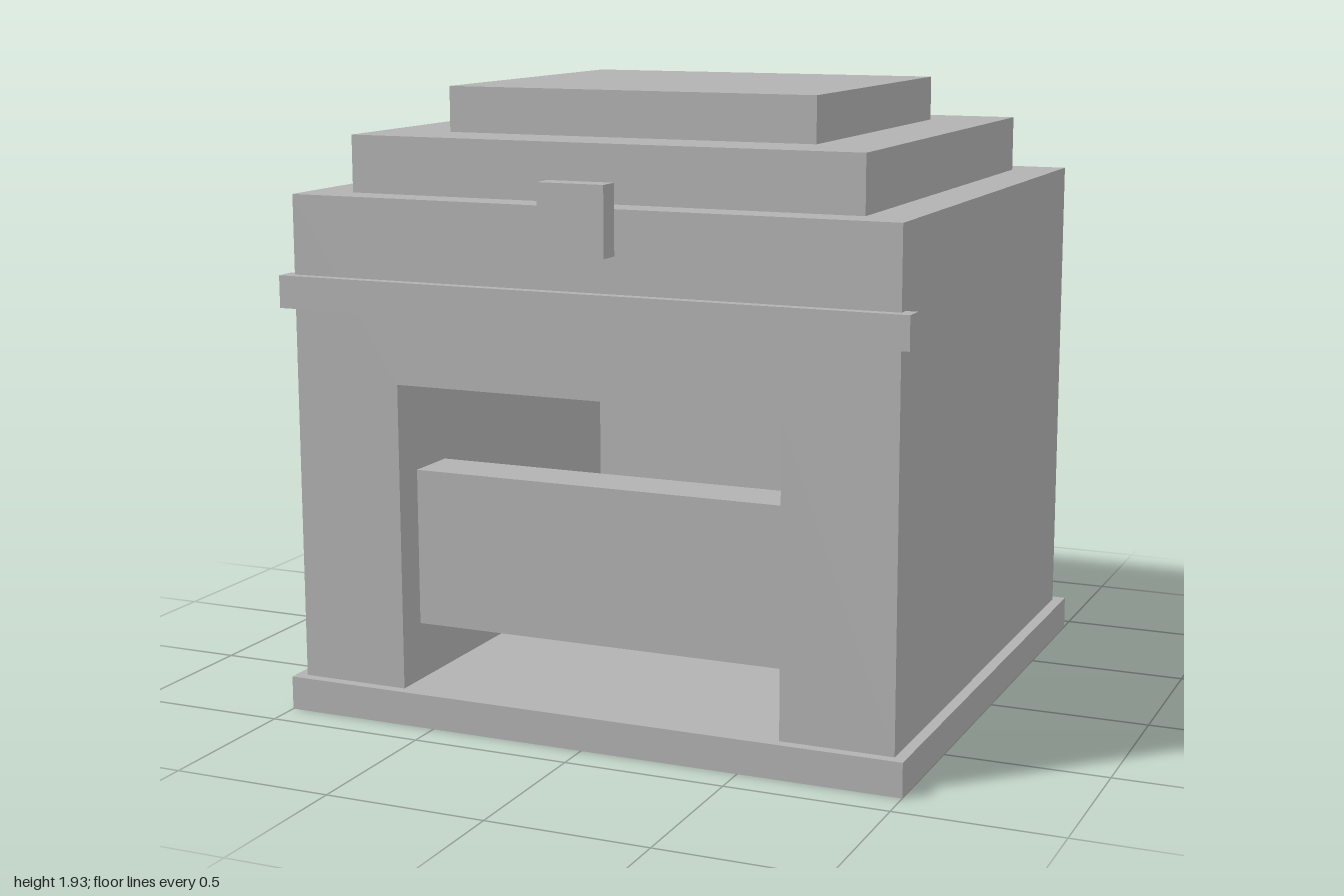
import * as THREE from 'three';

export function createModel() {
  const model = new THREE.Group();
  const stone = new THREE.MeshStandardMaterial({ color: 0xb2b2b2 });
  stone.name = 'grey stone';

  function add(name, geometry) {
    const mesh = new THREE.Mesh(geometry, stone);
    mesh.name = name;
    model.add(mesh);
    return mesh;
  }

  // Box centred on x = 0, given its half width and its y and z ranges
  function block(name, halfWidth, y0, y1, z0, z1) {
    const mesh = add(name, new THREE.BoxGeometry(2 * halfWidth, y1 - y0, z1 - z0));
    mesh.position.set(0, (y0 + y1) / 2, (z0 + z1) / 2);
  }

  // Dimensions shared by the body and its front opening
  const baseTop = 0.105, bodyTop = 1.615, bodyHalf = 0.965;
  const openHalf = 0.617, openTop = 1.055;
  const front = 0.86, cavityBack = -0.55, back = -0.893;

  // Plinth
  block('base', 1, 0, baseTop, -0.93, 0.893);

  // Walls around the deep front opening
  const arch = new THREE.Shape([
    [-bodyHalf, baseTop], [-openHalf, baseTop], [-openHalf, openTop], [openHalf, openTop],
    [openHalf, baseTop], [bodyHalf, baseTop], [bodyHalf, bodyTop], [-bodyHalf, bodyTop],
  ].map(([x, y]) => new THREE.Vector2(x, y)));
  const walls = new THREE.ExtrudeGeometry(arch, { depth: front - cavityBack, bevelEnabled: false });
  add('walls', walls).position.z = cavityBack;
  block('backWall', bodyHalf, baseTop, bodyTop, back, cavityBack);

  // Raised panel set across the opening
  block('counter', openHalf, 0.285, 0.772, 0.58, 0.754);

  // Front trim
  block('cornice', 1, 1.27, 1.37, 0.825, 0.893);
  block('frontPlaque', 0.105, 1.48, 1.69, front, 0.93);

  // Stepped roof
  block('lowerRoof', 0.82, bodyTop, 1.79, -0.755, 0.75);
  block('upperRoof', 0.597, 1.79, 1.93, -0.545, 0.54);

  return model;
}
